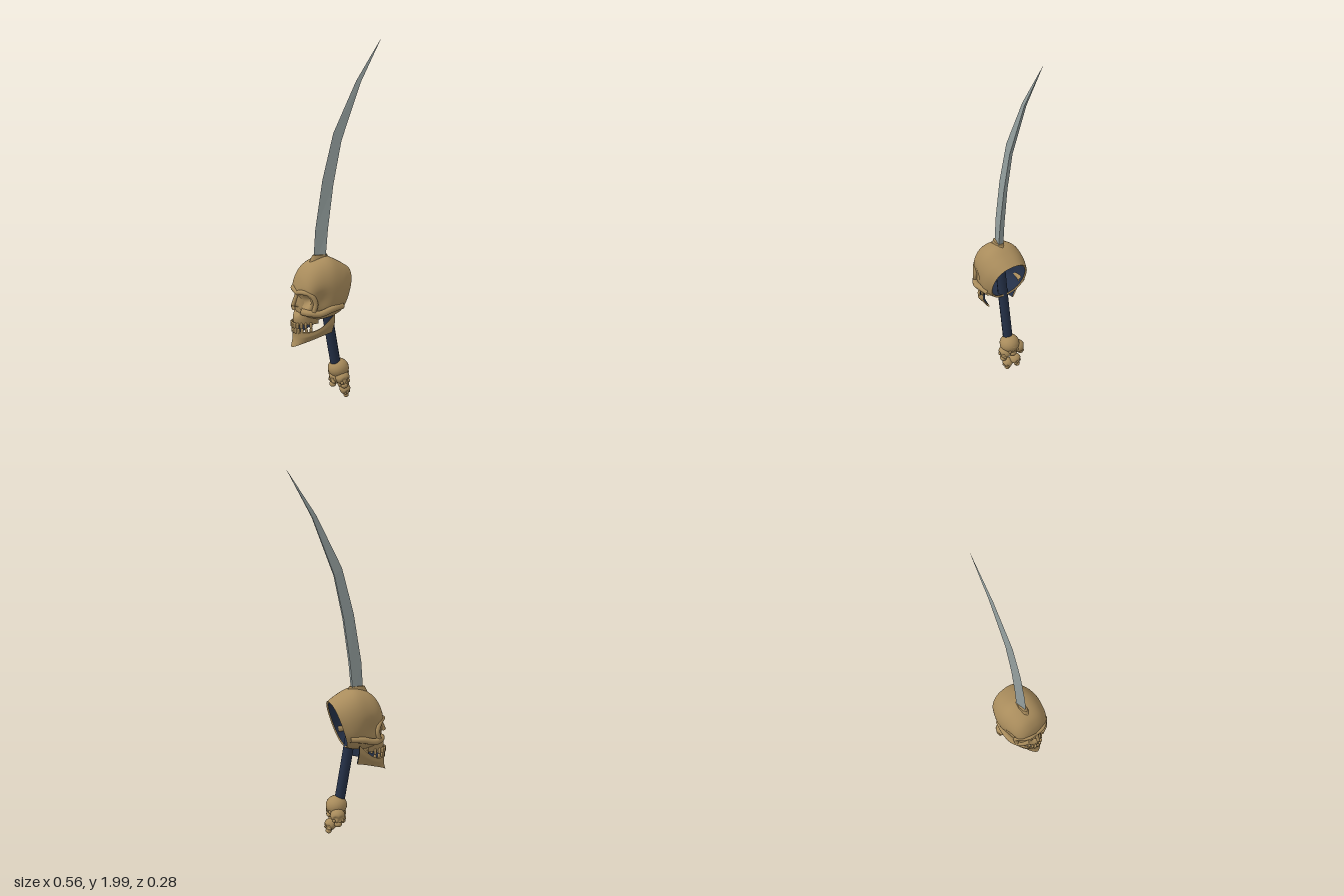
import * as THREE from 'three';
import { mergeVertices } from 'three/addons/utils/BufferGeometryUtils.js';

const V = (x, y, z = 0) => new THREE.Vector3(x, y, z);
const mat = (name, color) => Object.assign(new THREE.MeshStandardMaterial({ color, side: THREE.DoubleSide }), { name });

// Surface through f(u, v), u and v from 0 to 1
function grid(f, nu, nv, flat = false) {
  const pos = [], idx = [];
  for (let j = 0; j <= nv; j++)
    for (let i = 0; i <= nu; i++) pos.push(...f(i / nu, j / nv).toArray());
  for (let j = 0; j < nv; j++)
    for (let i = 0; i < nu; i++) {
      const a = j * (nu + 1) + i, b = a + 1, c = a + nu + 1, d = c + 1;
      idx.push(a, b, d, a, d, c);
    }
  let g = new THREE.BufferGeometry();
  g.setAttribute('position', new THREE.Float32BufferAttribute(pos, 3));
  g.setIndex(idx);
  g = flat ? g.toNonIndexed() : mergeVertices(g, 1e-5);
  g.computeVertexNormals();
  return g;
}

// Smooth interpolation through the rows of a small table
function sample(rows, t) {
  const s = t * (rows.length - 1), i = Math.min(Math.floor(s), rows.length - 2), k = s - i;
  const at = n => rows[Math.max(0, Math.min(rows.length - 1, n))];
  return rows[0].map((_, c) => {
    const [a, b, d, e] = [at(i - 1)[c], at(i)[c], at(i + 1)[c], at(i + 2)[c]];
    return b + 0.5 * k * (d - a + k * (2 * a - 5 * b + 4 * d - e + k * (3 * (b - d) + e - a)));
  });
}

const bump = (p, x, y, z, r) => Math.exp(-((p.x - x) ** 2 + (p.y - y) ** 2 + (p.z - z) ** 2) / (r * r));
const pow = (s, e) => Math.sign(s) * Math.abs(s) ** e;

export function createModel() {
  const bone = mat('bone', 0xa98c5c), steel = mat('steel', 0x95a09f), navy = mat('darkNavy', 0x243047);
  const model = new THREE.Group();
  model.name = 'skullGuardSabre';
  const add = (parent, name, geo, m) => {
    const mesh = new THREE.Mesh(geo, m);
    mesh.name = name;
    parent.add(mesh);
    return mesh;
  };
  const tube = (pts, r, n = 20) => new THREE.TubeGeometry(new THREE.CatmullRomCurve3(pts), n, r, 10);

  // Blade: wedge section, sharp on the outer curve, blunt spine inside
  // rows: edge x, edge y, spine x, spine y, half thickness
  const blade = [
    [-0.147, 0.78, -0.083, 0.78, 0.016], [-0.132, 0.99, -0.062, 0.99, 0.014],
    [-0.087, 1.255, -0.026, 1.23, 0.011], [-0.02, 1.5, 0.025, 1.46, 0.009],
    [0.12, 1.77, 0.145, 1.762, 0.006], [0.28, 2, 0.28, 2, 0]];
  add(model, 'blade', grid((u, v) => {
    const [ex, ey, sx, sy, t] = blade[Math.round(v * 5)];
    const k = Math.round(u * 3) % 3;
    return k === 0 ? V(ex, ey) : V(sx, sy, k === 1 ? t : -t);
  }, 3, 5, true), steel);

  // Skull guard, its face toward -x and its back open
  const skull = new THREE.Group();
  skull.name = 'skullGuard';
  model.add(skull);

  // Cranium rings from open rim to face: top x, top y, bottom x, bottom y, half width
  const rings = [
    [0.055, 0.775, -0.033, 0.515, 0.113], [0.0, 0.81, -0.07, 0.505, 0.131],
    [-0.07, 0.843, -0.11, 0.5, 0.135], [-0.135, 0.833, -0.15, 0.5, 0.129],
    [-0.19, 0.803, -0.19, 0.51, 0.117], [-0.225, 0.755, -0.222, 0.525, 0.098],
    [-0.243, 0.7, -0.24, 0.55, 0.07], [-0.248, 0.66, -0.247, 0.585, 0.035],
    [-0.249, 0.62, -0.249, 0.62, 0]];
  const cranium = (u, v) => {
    const [tx, ty, bx, by, w] = sample(rings, v);
    const a = (u + 0.5) * Math.PI * 2, c = (1 + pow(Math.cos(a), 0.9)) / 2;
    const p = V(bx + (tx - bx) * c, by + (ty - by) * c, w * pow(Math.sin(a), 0.85));
    const s = Math.sign(p.z) || 1;
    // eye sockets, hollow temples
    const socket = bump(p, -0.235, 0.625, s * 0.056, 0.034);
    const temple = bump(p, -0.16, 0.63, s * 0.125, 0.05);
    p.x += 0.06 * socket;
    p.z -= s * 0.018 * temple;
    return p;
  };
  const inward = (p, c, k) => p.sub(c).multiplyScalar(k).add(c);
  const core = V(-0.09, 0.65);
  add(skull, 'cranium', grid(cranium, 56, 48), bone);
  add(skull, 'craniumLining', grid((u, v) => inward(cranium(u, v), core, 0.93), 56, 40), navy);
  add(skull, 'craniumRim', grid((u, v) => inward(cranium(u, 0), core, 1 - 0.07 * v), 56, 1), bone);

  // Upper jaw with nose opening
  const muzzle = [[-0.262, 0.49, 0.062], [-0.266, 0.52, 0.066], [-0.26, 0.55, 0.068],
    [-0.262, 0.585, 0.05], [-0.25, 0.65, 0.025]];
  add(skull, 'upperJaw', grid((u, v) => {
    const [x, y, w] = sample(muzzle, v), a = (u - 0.5) * Math.PI;
    const p = V(-0.15 + (x + 0.15) * Math.cos(a) ** 0.75, y, w * Math.sin(a));
    p.x += 0.045 * Math.max(bump(p, x, 0.567, 0.012, 0.017), bump(p, x, 0.567, -0.012, 0.017));
    return p;
  }, 40, 24), bone);
  add(skull, 'noseBridge', tube([V(-0.24, 0.665), V(-0.256, 0.63), V(-0.272, 0.592)], 0.011), bone);
  add(skull, 'palate', new THREE.CylinderGeometry(0.06, 0.06, 0.012, 24), bone).position.set(-0.19, 0.496, 0);

  // Brows and cheekbones
  for (const s of [1, -1]) {
    add(skull, 'brow', tube([V(-0.244, 0.66, 0), V(-0.243, 0.675, s * 0.05),
      V(-0.21, 0.665, s * 0.095), V(-0.19, 0.62, s * 0.108), V(-0.2, 0.575, s * 0.105)], 0.013), bone);
    add(skull, 'cheekbone', tube([V(-0.238, 0.565, s * 0.045), V(-0.215, 0.565, s * 0.09),
      V(-0.17, 0.562, s * 0.117), V(-0.1, 0.58, s * 0.124), V(-0.03, 0.585, s * 0.112)], 0.018), bone);
  }

  // Lower jaw: U-shaped shell rising at the back
  const jaw = (u, v) => {
    const a = (u - 0.5) * Math.PI, k = Math.abs(2 * u - 1);
    const top = 0.45 + 0.1 * k ** 5, bottom = 0.36 + 0.075 * k ** 1.3;
    const flare = 0.72 + 0.28 * Math.min(1, v * 1.6);
    const chin = 0.012 * (1 - v) * (1 - k);
    return V(-0.08 - 0.19 * Math.cos(a) ** 0.8 - chin + 0.008 * Math.sin(v * Math.PI) * (1 - k),
      bottom + (top - bottom) * v, (0.085 + 0.037 * k) * flare * pow(Math.sin(a), 0.95));
  };
  const jawCore = V(-0.08, 0.46);
  add(skull, 'lowerJaw', grid(jaw, 40, 12), bone);
  add(skull, 'lowerJawLining', grid((u, v) => inward(jaw(u, v), jawCore, 0.9), 40, 12), navy);
  for (const edge of [0, 1])
    add(skull, 'lowerJawEdge', grid((u, v) => inward(jaw(u, edge), jawCore, 1 - 0.1 * v), 40, 1), bone);

  // Teeth
  const toothGeo = new THREE.CapsuleGeometry(0.0085, 0.016, 3, 8);
  for (const [name, y, r] of [['upperTooth', 0.487, 0.112], ['lowerTooth', 0.456, 0.106]])
    for (let i = 0; i < 11; i++) {
      const a = (i / 10 - 0.5) * 2.7;
      add(skull, name, toothGeo, bone).position.set(-0.162 - r * Math.cos(a) ** 0.8, y, 0.062 * Math.sin(a));
    }

  // Collar where the blade leaves the skull
  const collar = add(skull, 'bladeCollar', new THREE.CylinderGeometry(0.045, 0.065, 0.04, 8), bone);
  collar.scale.z = 0.42;
  collar.position.set(-0.107, 0.834, 0);

  // Grip running up inside the skull
  add(model, 'grip', tube([V(-0.105, 0.8), V(-0.066, 0.55), V(-0.035, 0.37), V(-0.005, 0.2)], 0.029, 16), navy);

  // Pommel: a cluster of small skulls under a rounded cap
  const pommel = new THREE.Group();
  pommel.name = 'pommel';
  model.add(pommel);
  const smallGeo = grid((u, v) => {
    const a = u * Math.PI * 2, b = v * Math.PI;
    const p = V(Math.sin(b) * Math.cos(a), Math.cos(b), Math.sin(b) * Math.sin(a));
    const dent = bump(p, 0.38, -0.12, 0.9, 0.27) + bump(p, -0.38, -0.12, 0.9, 0.27) + 0.6 * bump(p, 0, -0.5, 0.87, 0.16);
    if (p.y < 0) p.x *= 1 + 0.3 * p.y;
    p.z -= 0.45 * dent;
    return p;
  }, 28, 22);
  const jawGeo = new THREE.SphereGeometry(0.55, 14, 10);
  const smallSkull = (x, y, z, r, turn, tilt = 0) => {
    const g = new THREE.Group();
    g.name = 'smallSkull';
    add(g, 'smallCranium', smallGeo, bone);
    const j = add(g, 'smallJaw', jawGeo, bone);
    j.position.set(0, -0.95, 0.42);
    j.scale.set(0.95, 0.75, 0.85);
    for (const s of [1, -1]) {
      const c = add(g, 'smallCheek', jawGeo, bone);
      c.position.set(s * 0.58, -0.42, 0.55);
      c.scale.setScalar(0.42);
    }
    g.position.set(x, y, z);
    g.rotation.set(tilt, turn, 0, 'YXZ');
    g.scale.setScalar(r);
    pommel.add(g);
  };
  const H = Math.PI / 2;
  const cap = add(pommel, 'pommelCap', new THREE.SphereGeometry(0.06, 20, 14), bone);
  cap.position.set(0.012, 0.18, 0);
  cap.scale.y = 0.9;
  smallSkull(0.018, 0.13, 0.034, 0.042, 0.2);
  smallSkull(0.022, 0.135, -0.052, 0.042, Math.PI - 0.2);
  smallSkull(0.034, 0.17, 0.0, 0.042, H);
  smallSkull(-0.005, 0.125, -0.005, 0.04, -H);
  smallSkull(0.052, 0.075, -0.015, 0.035, H + 0.4);
  smallSkull(0.038, 0.055, 0.03, 0.032, 0.5, 0.2);
  return model;
}
